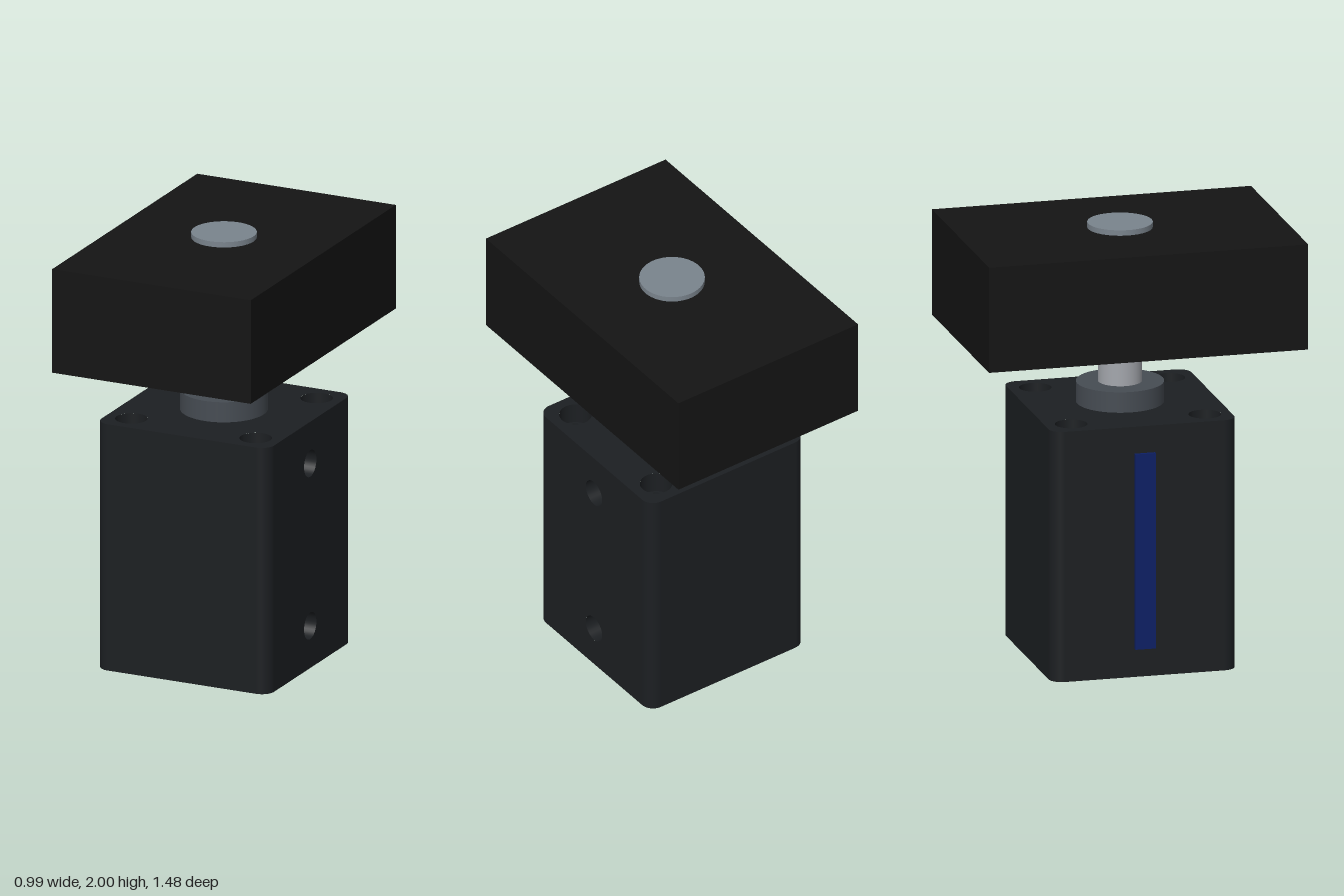
import * as THREE from 'three';

const mat = (color, side = THREE.FrontSide) =>
  new THREE.MeshStandardMaterial({ color, side, roughness: 0.6 });

const H = 1.165;      // body height
const W = 0.43;       // body half width
const R = 0.06;       // vertical corner radius
const BOLT = 0.31;    // bolt hole offset from the axis
const BOLT_R = 0.062, BORE_R = 0.073, BORE_DEPTH = 0.1;
const PORT_R = 0.063, PORT_DEPTH = 0.12, PORTS = [0.2, 0.968];

function addMesh(parent, name, geometry, material, x = 0, y = 0, z = 0) {
  const mesh = new THREE.Mesh(geometry, material);
  mesh.name = name;
  mesh.position.set(x, y, z);
  parent.add(mesh);
  return mesh;
}

function circlePath(x, y, r) {
  return new THREE.Path().absarc(x, y, r, 0, Math.PI * 2, true);
}

const corners = [[1, 1], [1, -1], [-1, -1], [-1, 1]];

// Square end face with rounded corners and four holes
function endFace(holeRadius) {
  const s = new THREE.Shape(), k = W - R;
  s.absarc(k, k, R, 0, Math.PI / 2);
  s.absarc(-k, k, R, Math.PI / 2, Math.PI);
  s.absarc(-k, -k, R, Math.PI, Math.PI * 1.5);
  s.absarc(k, -k, R, Math.PI * 1.5, Math.PI * 2);
  s.closePath();
  corners.forEach(([a, b]) => s.holes.push(circlePath(a * BOLT, b * BOLT, holeRadius)));
  return new THREE.ShapeGeometry(s, 24);
}

function createBody() {
  const body = new THREE.Group();
  body.name = 'cylinderBody';
  const skin = mat(0x1c1f22);
  const inside = mat(0x1c1f22, THREE.BackSide);

  // End faces
  addMesh(body, 'bodyTop', endFace(BORE_R), skin, 0, H, 0).rotation.x = -Math.PI / 2;
  addMesh(body, 'bodyBottom', endFace(BOLT_R), skin).rotation.x = Math.PI / 2;

  // Four flat sides joined by quarter-round edges; the +x side carries the ports
  const k = W - R;
  for (let i = 0; i < 4; i++) {
    const side = new THREE.Shape([[-k, 0], [k, 0], [k, H], [-k, H]].map(p => new THREE.Vector2(...p)));
    if (i === 1) PORTS.forEach(y => side.holes.push(circlePath(0, y, PORT_R)));
    const angle = i * Math.PI / 2;
    addMesh(body, 'bodySide', new THREE.ShapeGeometry(side, 24), skin,
      Math.sin(angle) * W, 0, Math.cos(angle) * W).rotation.y = angle;
    const [cx, cz] = [[1, 1], [1, -1], [-1, -1], [-1, 1]][i];
    addMesh(body, 'bodyEdge',
      new THREE.CylinderGeometry(R, R, H, 10, 1, true, angle, Math.PI / 2),
      skin, cx * k, H / 2, cz * k);
  }

  // Counterbored bolt holes through the body
  corners.forEach(([a, b]) => {
    const x = a * BOLT, z = b * BOLT, floor = H - BORE_DEPTH;
    addMesh(body, 'boltHole', new THREE.CylinderGeometry(BOLT_R, BOLT_R, floor, 32, 1, true),
      inside, x, floor / 2, z);
    addMesh(body, 'counterbore', new THREE.CylinderGeometry(BORE_R, BORE_R, BORE_DEPTH, 32, 1, true),
      inside, x, H - BORE_DEPTH / 2, z);
    addMesh(body, 'counterboreFloor', new THREE.RingGeometry(BOLT_R, BORE_R, 32),
      skin, x, floor, z).rotation.x = -Math.PI / 2;
  });

  // Blind air ports
  PORTS.forEach(y => {
    addMesh(body, 'portWall', new THREE.CylinderGeometry(PORT_R, PORT_R, PORT_DEPTH, 32, 1, true),
      inside, W - PORT_DEPTH / 2, y, 0).rotation.z = Math.PI / 2;
    addMesh(body, 'portFloor', new THREE.CircleGeometry(PORT_R, 32),
      skin, W - PORT_DEPTH, y, 0).rotation.y = Math.PI / 2;
  });
  return body;
}

export function createModel() {
  const model = new THREE.Group();
  model.name = 'compactCylinder';
  model.add(createBody());

  const round = (r, y0, y1) => new THREE.CylinderGeometry(r, r, y1 - y0, 64).translate(0, (y0 + y1) / 2, 0);

  // Coloured strip on the side opposite the ports
  addMesh(model, 'sensorStrip', new THREE.BoxGeometry(0.025, 0.91, 0.095),
    mat(0x0c1f66), -W - 0.0025, 0.585, 0);

  // Collar, rod, load block and rod end
  addMesh(model, 'collar', round(0.198, H, 1.26), mat(0x464c53));
  addMesh(model, 'pistonRod', round(0.099, 1.26, 1.49), mat(0xa4a7ad));
  addMesh(model, 'loadBlock', new THREE.BoxGeometry(0.99, 0.49, 1.48), mat(0x141414), 0, 1.73, 0);
  addMesh(model, 'rodEndCap', round(0.147, 1.97, 2), mat(0x7a848d));
  return model;
}
